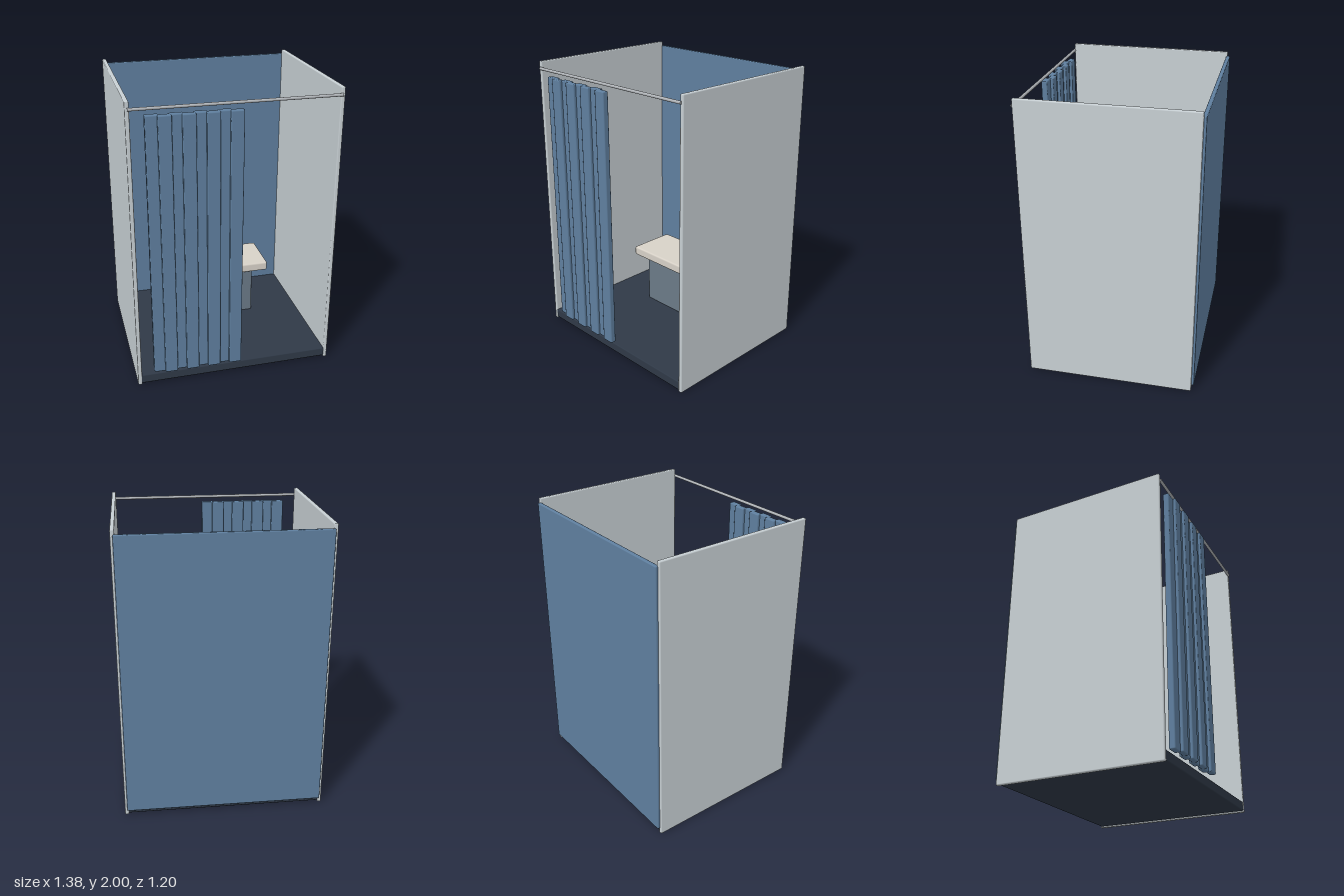
import * as THREE from 'three';
import { RoundedBoxGeometry } from 'three/addons/geometries/RoundedBoxGeometry.js';

const mat = (color) => new THREE.MeshStandardMaterial({ color });

export function createModel() {
  const booth = new THREE.Group();
  booth.name = 'booth';

  const panelGrey = mat(0xc8d0d4);
  const blue = mat(0x5f7f9f);
  const floorDark = mat(0x2f3947);
  const baseGrey = mat(0x6b7a87);
  const cushion = mat(0xd8d2c8);
  const metal = mat(0xb0b4b8);

  // Box with softened edges, given by its limits on each axis
  function slab(name, [x0, x1], [y0, y1], [z0, z1], bevel, material, parent = booth) {
    const geometry = new RoundedBoxGeometry(x1 - x0, y1 - y0, z1 - z0, 1, bevel);
    const mesh = new THREE.Mesh(geometry, material);
    mesh.name = name;
    mesh.position.set((x0 + x1) / 2, (y0 + y1) / 2, (z0 + z1) / 2);
    parent.add(mesh);
    return mesh;
  }

  // Shell: floor, back and two sides
  slab('floor', [-0.67, 0.67], [0.01, 0.075], [-0.58, 0.56], 0.008, floorDark);
  slab('backPanel', [-0.672, 0.672], [0.04, 1.97], [-0.602, -0.574], 0.008, blue);
  slab('leftPanel', [0.66, 0.688], [0, 2], [-0.585, 0.563], 0.008, panelGrey);
  slab('rightPanel', [-0.688, -0.66], [0, 2], [-0.585, 0.563], 0.008, panelGrey);

  // Bench
  const bench = new THREE.Group();
  bench.name = 'bench';
  slab('benchBase', [-0.31, 0.31], [0.07, 0.435], [-0.35, -0.08], 0.012, baseGrey, bench);
  slab('benchSeat', [-0.417, 0.417], [0.432, 0.5], [-0.39, -0.037], 0.014, cushion, bench);
  booth.add(bench);

  // Curtain rail across the opening
  const rail = new THREE.Mesh(new THREE.CylinderGeometry(0.01, 0.01, 1.345, 16), metal);
  rail.name = 'curtainRail';
  rail.rotation.z = Math.PI / 2;
  rail.position.set(0, 1.95, 0.565);
  booth.add(rail);

  // Curtain folds, alternating back and forward
  const curtain = new THREE.Group();
  curtain.name = 'curtain';
  for (let i = 0; i < 8; i++) {
    const x = -0.533 + i * 0.0745;
    const z = i % 2 ? 0.58 : 0.56;
    slab('curtainFold', [x - 0.043, x + 0.043], [0.1, 1.91], [z - 0.021, z + 0.021], 0.008, blue, curtain);
  }
  booth.add(curtain);

  return booth;
}
